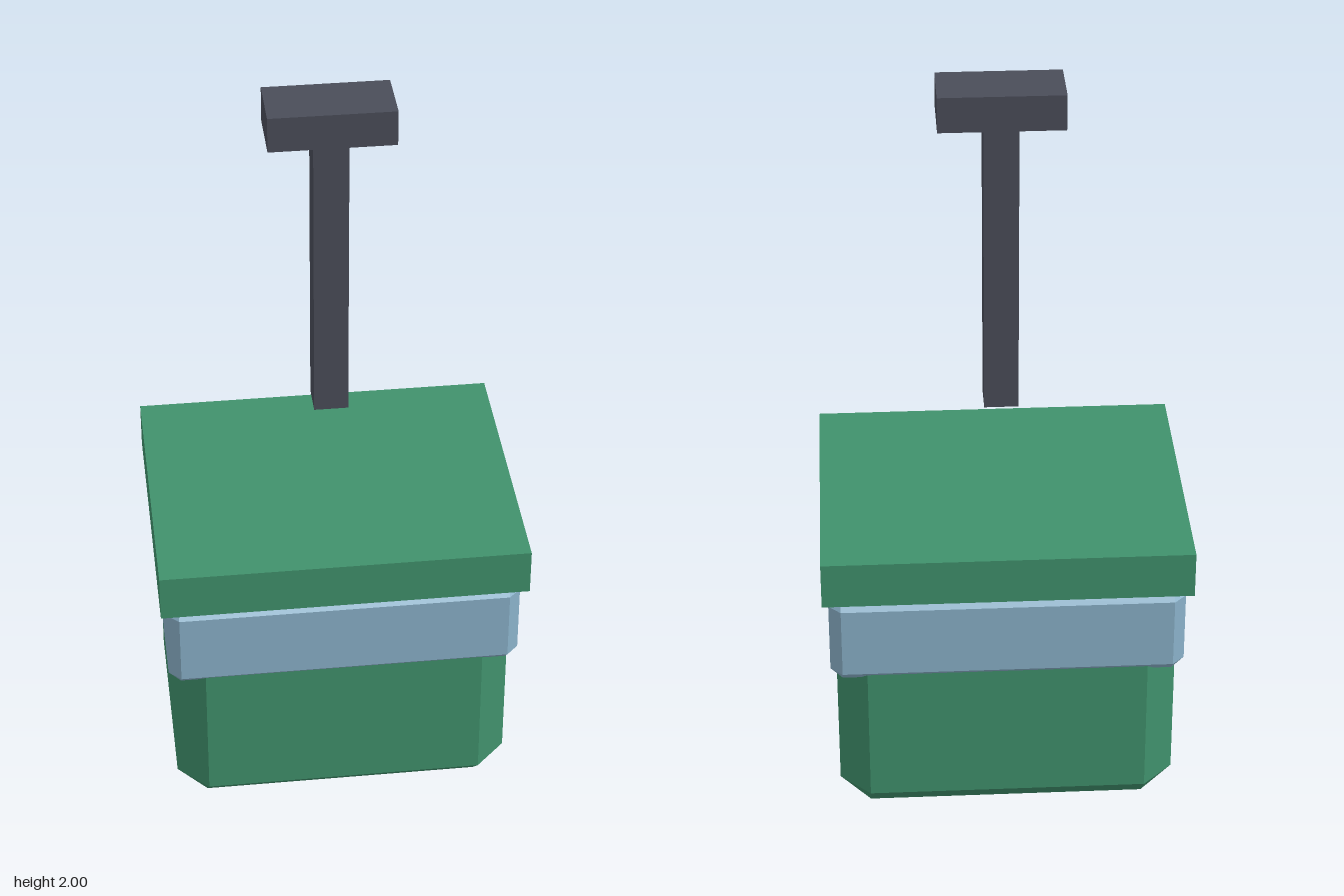
import * as THREE from 'three';
import { ConvexGeometry } from 'three/addons/geometries/ConvexGeometry.js';

function flatMaterial(name, color) {
  const material = new THREE.MeshStandardMaterial({ color });
  material.name = name;
  return material;
}

// Box with every edge cut at 45 degrees and a triangle at each corner
function chamferedBox(w, h, d, c) {
  const points = [];
  for (const sx of [-1, 1]) for (const sy of [-1, 1]) for (const sz of [-1, 1]) {
    const x = w / 2, y = h / 2, z = d / 2;
    points.push(
      new THREE.Vector3(sx * x, sy * (y - c), sz * (z - c)),
      new THREE.Vector3(sx * (x - c), sy * y, sz * (z - c)),
      new THREE.Vector3(sx * (x - c), sy * (y - c), sz * z)
    );
  }
  return new ConvexGeometry(points);
}

export function createModel() {
  const group = new THREE.Group();
  const green = flatMaterial('green', 0x40916c);
  const blue = flatMaterial('pale blue', 0x8ab1c9);
  const slate = flatMaterial('dark slate', 0x4a4d59);

  // Places a box by its bottom and top heights, chamfered where c is given
  function addBlock(name, material, w, d, bottom, top, c = 0) {
    const h = top - bottom;
    const geometry = c ? chamferedBox(w, h, d, c) : new THREE.BoxGeometry(w, h, d);
    const mesh = new THREE.Mesh(geometry, material);
    mesh.name = name;
    mesh.position.y = (bottom + top) / 2;
    group.add(mesh);
  }

  // Container
  addBlock('body', green, 0.904, 0.708, 0, 0.644, 0.081);
  addBlock('band', blue, 0.936, 0.737, 0.455, 0.715, 0.032);
  addBlock('lid', green, 0.968, 0.774, 0.715, 0.842);

  // Floating handle above the lid
  addBlock('handlePost', slate, 0.09, 0.09, 1.1, 1.906);
  addBlock('handleGrip', slate, 0.322, 0.158, 1.906, 2);

  return group;
}
